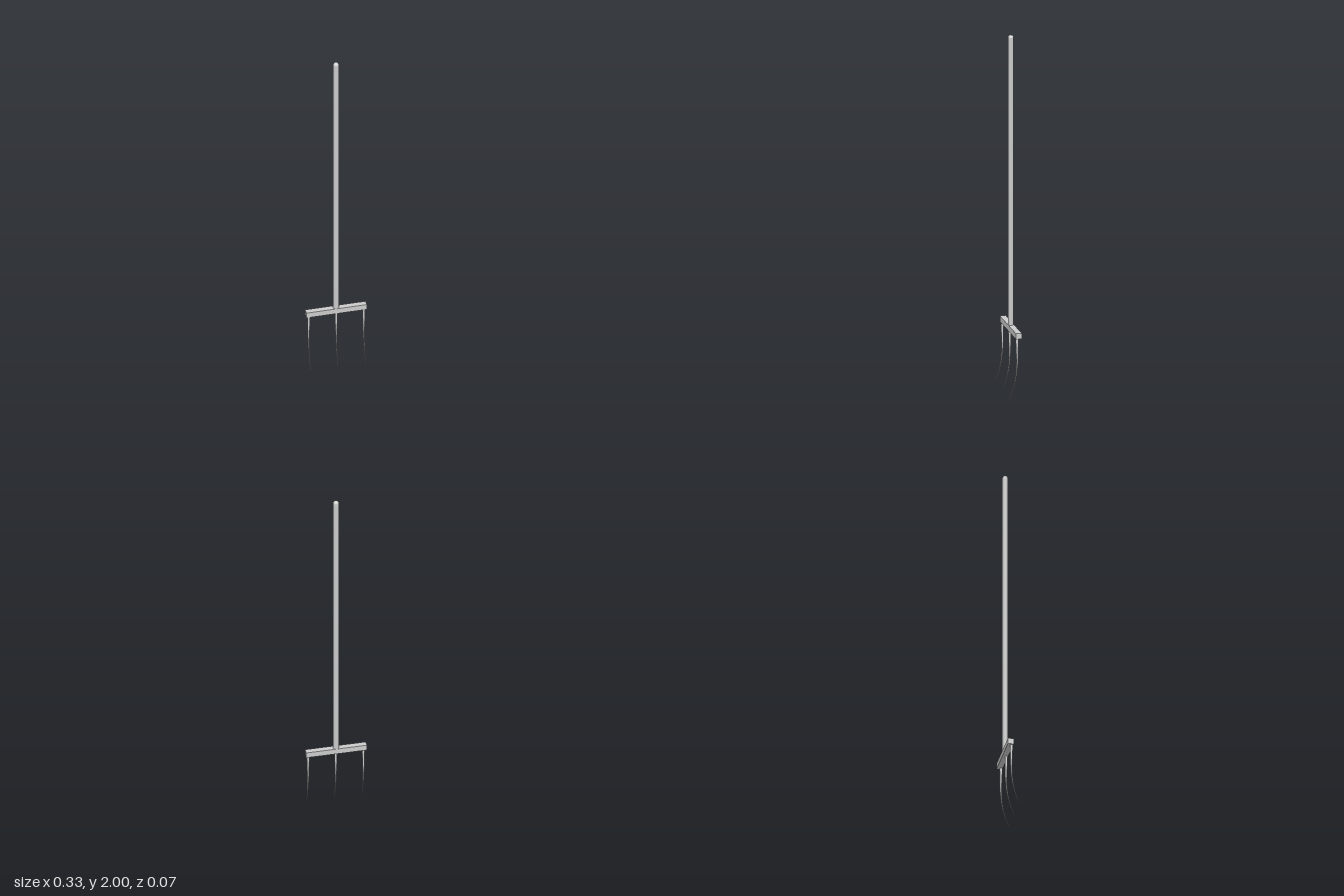
import * as THREE from 'three';

const material = new THREE.MeshStandardMaterial({ color: 0xcccccc });
const AXIS_Z = -0.018;

function part(name, geometry, x, y, z) {
  const mesh = new THREE.Mesh(geometry, material);
  mesh.name = name;
  mesh.position.set(x, y, z);
  return mesh;
}

// A tube along a curve whose radius shrinks towards the tip.
function taperedTube(curve, segments, sides, r0, r1) {
  const geometry = new THREE.TubeGeometry(curve, segments, 1, sides, false);
  const pos = geometry.attributes.position;
  const centre = new THREE.Vector3();
  const v = new THREE.Vector3();
  for (let i = 0; i <= segments; i++) {
    const t = i / segments;
    const r = THREE.MathUtils.lerp(r0, r1, t);
    curve.getPointAt(t, centre);
    for (let j = 0; j <= sides; j++) {
      const k = i * (sides + 1) + j;
      v.fromBufferAttribute(pos, k).sub(centre).multiplyScalar(r).add(centre);
      pos.setXYZ(k, v.x, v.y, v.z);
    }
  }
  geometry.computeBoundingSphere();
  return geometry;
}

export function createModel() {
  const group = new THREE.Group();
  group.name = 'fork';

  // Long round handle with a domed top
  const r = 0.016, top = 2;
  const profile = [new THREE.Vector2(0, 0.355), new THREE.Vector2(r, 0.355)];
  for (let i = 0; i <= 8; i++) {
    const a = (i / 8) * Math.PI / 2;
    profile.push(new THREE.Vector2(i === 8 ? 0 : r * Math.cos(a), top - r + r * Math.sin(a)));
  }
  group.add(part('handle', new THREE.LatheGeometry(profile, 24), 0, 0, AXIS_Z));

  // Square crossbar
  group.add(part('crossbar', new THREE.BoxGeometry(0.334, 0.032, 0.032), 0, 0.355, AXIS_Z));

  // Three tines curving forward to a point
  const path = new THREE.CatmullRomCurve3([
    [0.345, -0.011], [0.27, -0.0125], [0.2, -0.0125], [0.14, -0.008],
    [0.09, 0.001], [0.045, 0.013], [0.001, 0.032],
  ].map(([y, z]) => new THREE.Vector3(0, y, z)));
  const tine = taperedTube(path, 24, 12, 0.008, 0.0008);
  for (const [name, x] of [['rightTine', -0.152], ['middleTine', 0], ['leftTine', 0.152]]) {
    group.add(part(name, tine, x, 0, 0));
  }
  return group;
}
